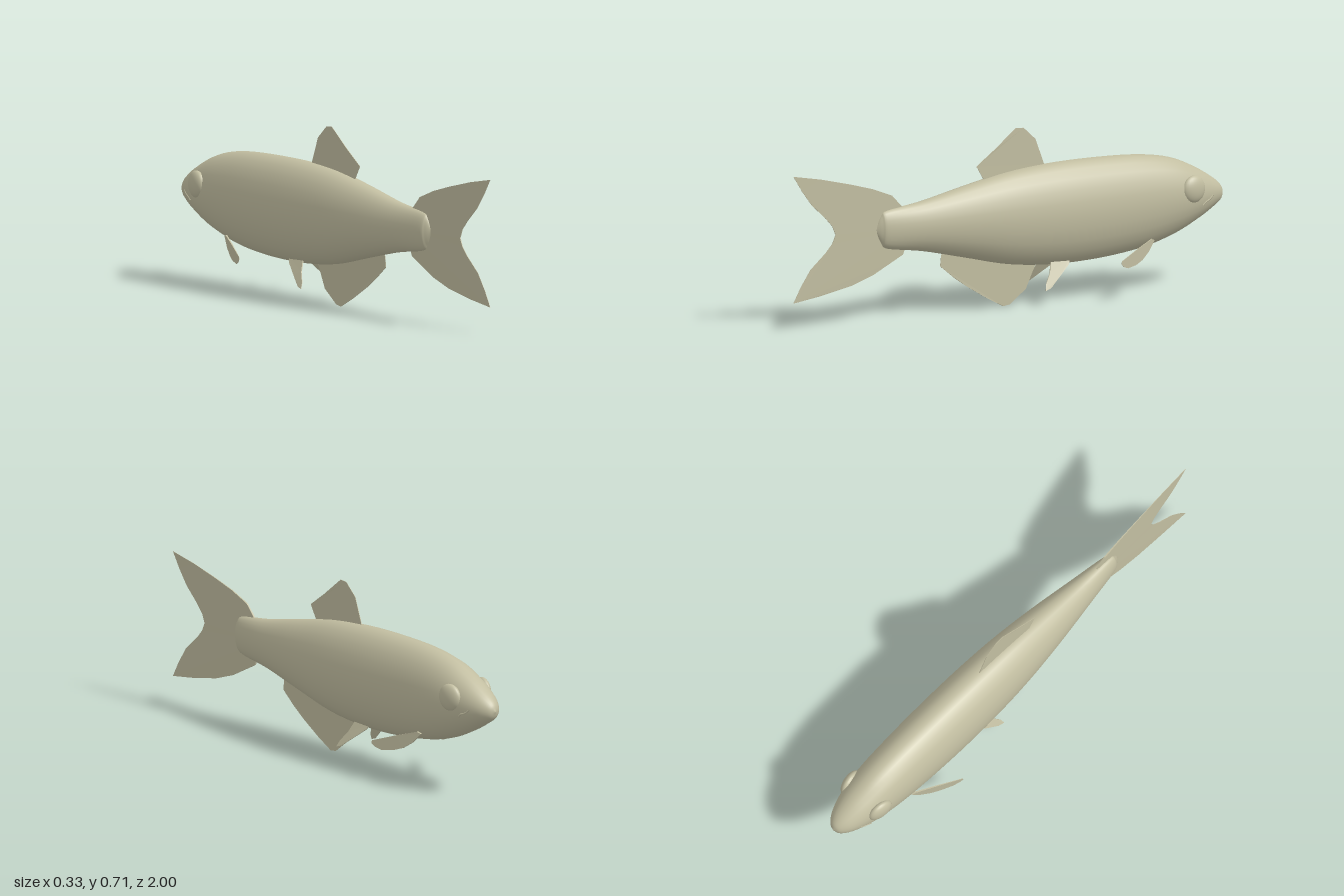
import * as THREE from 'three';
import { mergeVertices } from 'three/addons/utils/BufferGeometryUtils.js';

const skin = new THREE.MeshStandardMaterial({ color: 0xc2bea1 });
skin.name = 'pale olive skin';

// Body stations from snout to tail: z, top, bottom, half width
const STATIONS = [
  [-1, 0.366, 0.364, 0], [-0.985, 0.398, 0.332, 0.03], [-0.94, 0.435, 0.303, 0.06],
  [-0.86, 0.482, 0.258, 0.085], [-0.75, 0.527, 0.211, 0.101], [-0.6, 0.552, 0.172, 0.11],
  [-0.4, 0.56, 0.15, 0.115], [-0.2, 0.557, 0.148, 0.114], [0, 0.54, 0.168, 0.105],
  [0.2, 0.503, 0.214, 0.085], [0.4, 0.462, 0.26, 0.057], [0.56, 0.441, 0.284, 0.032],
  [0.592, 0.42, 0.31, 0.019], [0.616, 0.37, 0.36, 0],
];
const spline = (pick) => new THREE.CatmullRomCurve3(
  STATIONS.map((s) => new THREE.Vector3(...pick(s))), false, 'catmullrom', 0.5);
const heights = spline(([z, top, bottom]) => [z, top, bottom]);
const widths = spline(([z, , , w]) => [z, w, 0]);

// Elliptical loft: a tube whose rings follow the stations
function bodyGeometry() {
  const tube = new THREE.CylinderGeometry(1, 1, 1, 24, 65, true);
  const p = tube.attributes.position;
  for (let i = 0; i < p.count; i++) {
    const t = THREE.MathUtils.clamp(p.getY(i) + 0.5, 0, 1);
    const h = heights.getPoint(t);
    const w = widths.getPoint(t).y;
    p.setXYZ(i, p.getX(i) * w, (h.y + h.z) / 2 - p.getZ(i) * (h.y - h.z) / 2, h.x);
  }
  tube.deleteAttribute('uv');
  tube.deleteAttribute('normal');
  const geo = mergeVertices(tube, 1e-5);
  geo.computeVertexNormals();
  return geo;
}

// Thin fin from a (z, y) outline, thinning away from its root; lean sets x
function fin(name, outline, root, length, lean = () => 0) {
  const shape = new THREE.Shape(outline.map(([z, y]) => new THREE.Vector2(z, y)));
  const geo = new THREE.ExtrudeGeometry(shape, { depth: 0.008, bevelEnabled: false });
  geo.translate(0, 0, -0.004).rotateY(-Math.PI / 2);
  const p = geo.attributes.position;
  for (let i = 0; i < p.count; i++) {
    const z = p.getZ(i), y = p.getY(i);
    const d = Math.hypot(z - root[0], y - root[1]);
    p.setX(i, p.getX(i) * Math.max(0.2, 1 - d / length) + lean(z, y));
  }
  geo.computeVertexNormals();
  const mesh = new THREE.Mesh(geo, skin);
  mesh.name = name;
  return mesh;
}

// Surface point of the body at a given z and y
function surfaceX(z, y) {
  const i = STATIONS.findIndex((s) => s[0] >= z);
  const a = STATIONS[i - 1], b = STATIONS[i];
  const k = (z - a[0]) / (b[0] - a[0]);
  const [top, bottom, w] = [1, 2, 3].map((j) => a[j] + (b[j] - a[j]) * k);
  const v = (y - (top + bottom) / 2) / ((top - bottom) / 2);
  return w * Math.sqrt(Math.max(0, 1 - v * v));
}

export function createModel() {
  const fish = new THREE.Group();
  fish.name = 'fish';

  const body = new THREE.Mesh(bodyGeometry(), skin);
  body.name = 'body';
  fish.add(body);

  // Fins on the centre line
  fish.add(fin('tailFin', [
    [0.45, 0.36], [0.476, 0.29], [0.49, 0.255], [0.54, 0.23], [0.63, 0.185], [0.73, 0.152],
    [0.87, 0.125], [1, 0.107], [0.965, 0.17], [0.92, 0.235], [0.85, 0.295], [0.818, 0.33],
    [0.803, 0.364], [0.818, 0.4], [0.85, 0.435], [0.915, 0.495], [0.96, 0.555], [1, 0.618],
    [0.87, 0.594], [0.73, 0.56], [0.63, 0.532], [0.54, 0.497], [0.49, 0.444],
  ], [0.48, 0.36], 0.55));
  fish.add(fin('dorsalFin', [
    [0.09, 0.49], [0.112, 0.52], [0.145, 0.575], [0.06, 0.635], [-0.04, 0.713], [-0.075, 0.71],
    [-0.13, 0.66], [-0.17, 0.555], [-0.165, 0.52],
  ], [-0.03, 0.52], 0.23));
  fish.add(fin('analFin', [
    [-0.11, 0.19], [-0.13, 0.155], [-0.085, 0.06], [-0.01, 0.005], [0.02, 0], [0.1, 0.042],
    [0.19, 0.096], [0.25, 0.137], [0.315, 0.19], [0.31, 0.235], [0.27, 0.27],
  ], [0.06, 0.19], 0.24));

  // Paired parts on both sides
  for (const [label, side] of [['left', 1], ['right', -1]]) {
    fish.add(fin(`${label}PectoralFin`, [
      [-0.635, 0.215], [-0.6, 0.175], [-0.56, 0.147], [-0.52, 0.133], [-0.47, 0.128],
      [-0.445, 0.137], [-0.43, 0.15], [-0.432, 0.162], [-0.53, 0.195], [-0.62, 0.222],
    ], [-0.62, 0.21], 0.26, (z) => side * (0.115 + (z + 0.55) * 0.42)));
    fish.add(fin(`${label}PelvicFin`, [
      [-0.27, 0.175], [-0.255, 0.15], [-0.2, 0.108], [-0.15, 0.07], [-0.122, 0.061],
      [-0.13, 0.085], [-0.16, 0.125], [-0.18, 0.175],
    ], [-0.23, 0.17], 0.17, (z, y) => side * (0.045 + (0.155 - y) * 0.49)));

    // Bulging eye
    const eye = new THREE.Mesh(new THREE.SphereGeometry(1, 24, 16), skin);
    eye.name = `${label}Eye`;
    eye.scale.set(0.025, 0.055, 0.055);
    eye.position.set(side * 0.083, 0.402, -0.818);
    eye.rotation.y = side * 0.15;
    fish.add(eye);

    // Slanted mouth corner lying on the skin
    const path = [[-0.865, 0.332], [-0.875, 0.342], [-0.9, 0.353], [-0.918, 0.368]].map(
      ([z, y]) => new THREE.Vector3(side * surfaceX(z, y), y, z));
    const mouth = new THREE.Mesh(
      new THREE.TubeGeometry(new THREE.CatmullRomCurve3(path), 12, 0.004, 6), skin);
    mouth.name = `${label}MouthCorner`;
    fish.add(mouth);
  }
  return fish;
}
